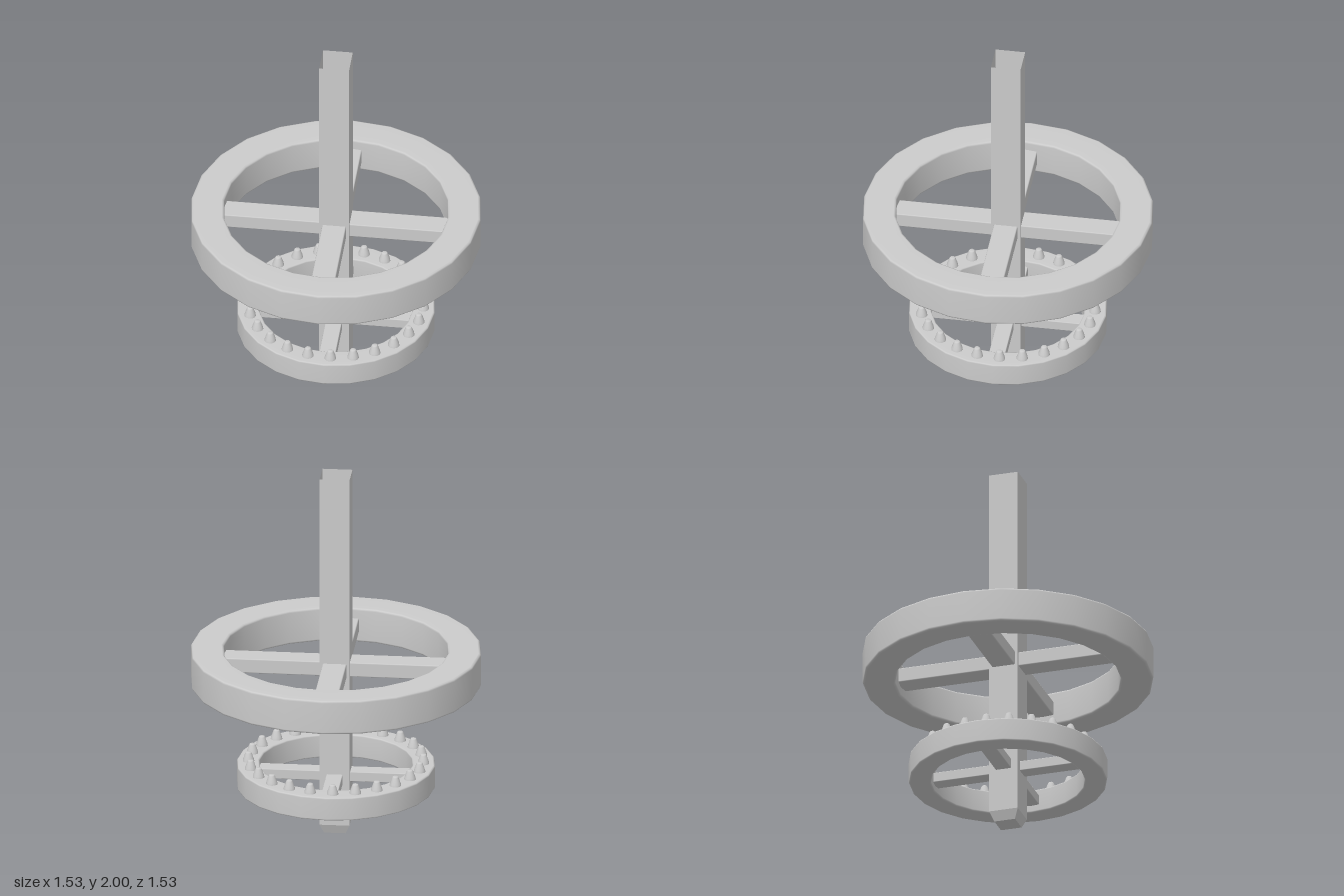
import * as THREE from 'three';
import { RoundedBoxGeometry } from 'three/addons/geometries/RoundedBoxGeometry.js';

const SIDES = 24;
const grey = new THREE.MeshStandardMaterial({ color: 0xcccccc });
const shaftGrey = new THREE.MeshStandardMaterial({
  color: 0xcccccc, flatShading: true, side: THREE.DoubleSide,
});

function add(parent, name, geometry, material = grey) {
  const mesh = new THREE.Mesh(geometry, material);
  mesh.name = name;
  parent.add(mesh);
  return mesh;
}

// Rectangular ring with softened corners, centred on its own height
function ringGeometry(inner, outer, height, bevel) {
  const h = height / 2;
  const points = [new THREE.Vector2(inner, 0)];
  const corners = [[inner, -h, 1, 1], [outer, -h, -1, 1], [outer, h, -1, -1], [inner, h, 1, -1]];
  corners.forEach(([x, y, sx, sy], i) => {
    for (let k = 0; k <= 2; k++) {
      const a = Math.PI + (i + k / 2) * Math.PI / 2;
      points.push(new THREE.Vector2(
        x + sx * bevel + Math.cos(a) * bevel,
        y + sy * bevel + Math.sin(a) * bevel));
    }
  });
  points.push(new THREE.Vector2(inner, 0));
  return new THREE.LatheGeometry(points, SIDES);
}

// Ring with two crossing spokes that run through the shaft; s is the overall scale
function wheel(name, y, s) {
  const group = new THREE.Group();
  group.name = name;
  group.position.y = y;
  add(group, 'rim', ringGeometry(0.592 * s, 0.766 * s, 0.19 * s, 0.013 * s));
  for (let i = 0; i < 2; i++) {
    const spoke = add(group, 'crossSpoke',
      new RoundedBoxGeometry(1.2 * s, 0.08 * s, 0.126 * s, 1, 0.006 * s));
    spoke.rotation.y = i * Math.PI / 2;
    spoke.position.y = i ? -0.002 : 0.002;
  }
  return group;
}

export function createModel() {
  const model = new THREE.Group();
  model.name = 'wheelShaft';

  // Square hollow shaft, open at the top, tapered foot
  const d = Math.SQRT2;
  const profile = [[0, 0], [0.057 * d, 0], [0.079 * d, 0.052], [0.079 * d, 2]]
    .map(([x, y]) => new THREE.Vector2(x, y));
  add(model, 'shaft', new THREE.LatheGeometry(profile, 4, Math.PI / 4), shaftGrey);

  // Large upper wheel and smaller lower copy
  model.add(wheel('upperWheel', 0.924, 1));
  const lower = wheel('toothedWheel', 0.313, 0.682);
  model.add(lower);

  // Tapered pegs standing on the lower rim
  const pegGeometry = new THREE.LatheGeometry([
    [0.031, 0], [0.029, 0.012], [0.017, 0.046], [0.013, 0.052], [0, 0.052],
  ].map(([x, y]) => new THREE.Vector2(x, y)), 12);
  for (let i = 0; i < 24; i++) {
    const a = THREE.MathUtils.degToRad(11.6 + i * 15);
    const peg = add(lower, 'peg', pegGeometry);
    peg.position.set(Math.sin(a) * 0.46, 0.064, -Math.cos(a) * 0.46);
  }
  return model;
}
